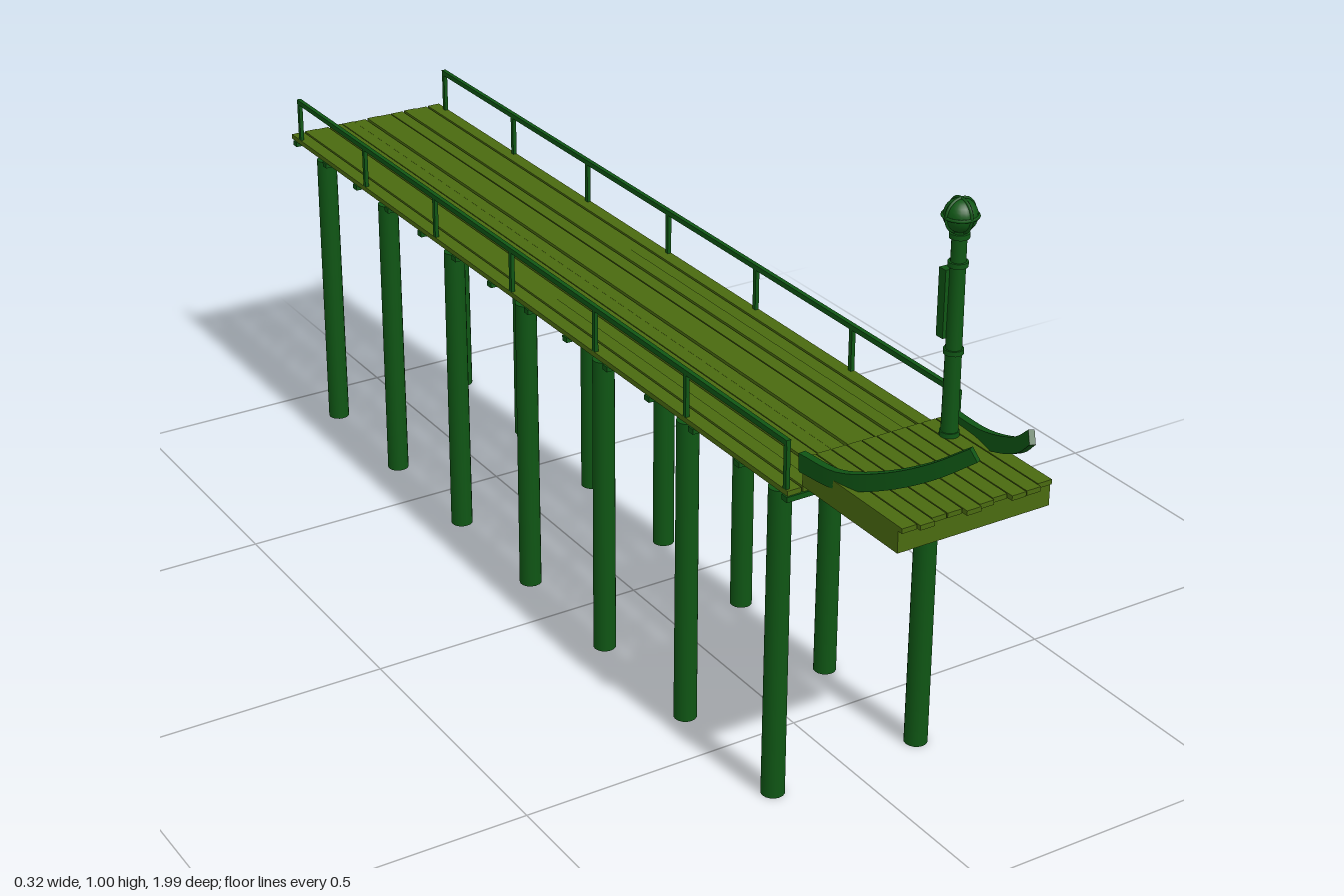
import * as THREE from 'three';

const wood = new THREE.MeshStandardMaterial({ color: 0x4a6a10 });
const green = new THREE.MeshStandardMaterial({ color: 0x0f5514 });

export function createModel() {
  const model = new THREE.Group();

  function add(parent, name, geometry, material, x, y, z) {
    const mesh = new THREE.Mesh(geometry, material);
    mesh.name = name;
    mesh.position.set(x, y, z);
    parent.add(mesh);
    return mesh;
  }
  function group(name) {
    const g = new THREE.Group();
    g.name = name;
    model.add(g);
    return g;
  }
  const box = (w, h, d) => new THREE.BoxGeometry(w, h, d);
  const tube = (rTop, rBottom, h, n = 16) => new THREE.CylinderGeometry(rTop, rBottom, h, n);

  // Long walkway boards
  const deck = group('deck');
  const boards = 12, pitch = 0.3215 / boards;
  for (let i = 0; i < boards; i++) {
    const x = (i - (boards - 1) / 2) * pitch;
    const shift = 0.0012 * Math.sin(i * 2.3);
    add(deck, 'deckBoard', box(0.0245, 0.009, 1.693), wood, x + shift, 0.5585 + shift * 0.5, -0.1525);
  }

  // Cross beams under the boards
  const beams = group('crossBeams');
  for (let i = 0; i < 14; i++) {
    add(beams, 'crossBeam', box(0.325, 0.009, 0.014), green, 0, 0.55, 0.69 - i * 0.1285);
  }

  // Pilings in pairs
  const pilings = group('pilings');
  for (let i = 0; i < 7; i++) {
    for (const side of [-1, 1]) {
      add(pilings, 'piling', tube(0.0185, 0.0195, 0.544), green, side * 0.139, 0.272, 0.645 - i * 0.256);
    }
  }

  // Handrails with posts
  for (const side of [-1, 1]) {
    const railing = group(side > 0 ? 'leftRailing' : 'rightRailing');
    const x = side * 0.156;
    for (let i = 0; i < 7; i++) {
      add(railing, 'railPost', box(0.007, 0.085, 0.008), green, x, 0.6, 0.685 - i * 0.2747);
    }
    add(railing, 'handrail', box(0.008, 0.009, 1.656), green, x, 0.64, -0.139);
  }

  // Raised platform at the front end
  const platform = group('platform');
  add(platform, 'platformBase', box(0.272, 0.036, 0.236), wood, 0, 0.585, 0.815);
  for (let i = 0; i < 10; i++) {
    const length = 0.25 + 0.006 * Math.sin(i * 1.9);
    add(platform, 'platformBoard', box(0.0255, 0.008, length), wood,
      (i - 4.5) * 0.0274, 0.607, 0.692 + length / 2);
  }

  // Curved prongs: a box bent along a rising, inward path
  const hornGeometry = (side) => {
    const path = new THREE.CatmullRomCurve3([
      [0.136, 0.607, 0.695], [0.129, 0.613, 0.78], [0.107, 0.642, 0.86],
      [0.078, 0.681, 0.93], [0.05, 0.725, 0.987],
    ].map(([x, y, z]) => new THREE.Vector3(side * x, y, z)));
    const g = new THREE.BoxGeometry(1, 1, 1, 1, 1, 20);
    const p = g.attributes.position;
    const v = new THREE.Vector3();
    for (let i = 0; i < p.count; i++) {
      v.fromBufferAttribute(p, i);
      const t = THREE.MathUtils.clamp(v.z + 0.5, 0, 1);
      const tangent = path.getTangent(t);
      const across = new THREE.Vector3(0, 1, 0).cross(tangent).normalize();
      const up = tangent.clone().cross(across);
      const c = path.getPoint(t);
      c.addScaledVector(across, v.x * (0.013 - 0.004 * t));
      c.addScaledVector(up, v.y * (0.03 - 0.008 * t));
      p.setXYZ(i, c.x, c.y, c.z);
    }
    g.computeVertexNormals();
    return g;
  };
  for (const side of [-1, 1]) {
    add(model, side > 0 ? 'leftProng' : 'rightProng', hornGeometry(side), green, 0, 0, 0);
  }

  // Lamp post with collars, box and caged globe
  const lamp = group('lampPost');
  lamp.position.set(0.095, 0, 0.745);
  add(lamp, 'post', tube(0.0115, 0.0135, 0.335), green, 0, 0.775, 0);
  for (const y of [0.615, 0.75, 0.89, 0.935]) {
    add(lamp, 'collar', tube(0.0155, 0.0155, 0.008), green, 0, y, 0);
  }
  add(lamp, 'controlBox', box(0.034, 0.11, 0.016), green, 0, 0.825, -0.014);
  add(lamp, 'globe', new THREE.SphereGeometry(0.026, 20, 14), green, 0, 0.966, 0);
  const ring = new THREE.TorusGeometry(0.0265, 0.0025, 6, 28);
  add(lamp, 'globeRing', ring, green, 0, 0.966, 0);
  add(lamp, 'globeRing', ring, green, 0, 0.966, 0).rotation.x = Math.PI / 2;
  add(lamp, 'globeRing', ring, green, 0, 0.966, 0).rotation.y = Math.PI / 2;

  return model;
}
